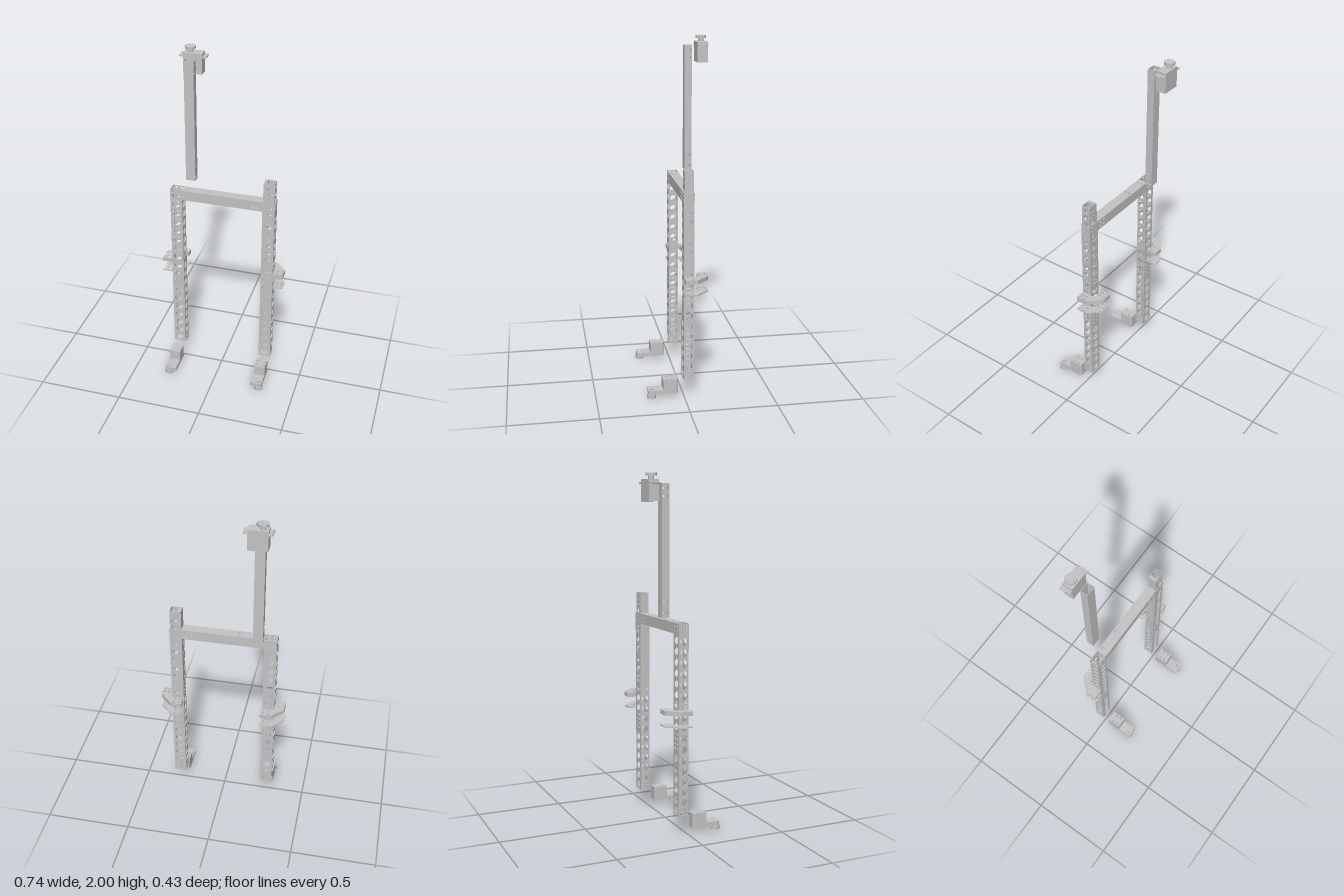
import * as THREE from 'three';

const metal = new THREE.MeshStandardMaterial({ color: 0xc4c4c4 });
metal.name = 'light grey metal';

// Solid plate in XY from corner points, with round holes [x, y, r]
function plate(points, holes, depth) {
  const shape = new THREE.Shape(points.map(p => new THREE.Vector2(p[0], p[1])));
  for (const [x, y, r] of holes) {
    const path = new THREE.Path();
    path.absarc(x, y, r, 0, Math.PI * 2, true);
    shape.holes.push(path);
  }
  return new THREE.ExtrudeGeometry(shape, { depth, bevelEnabled: false, curveSegments: 12 });
}

// Plate lying flat: points are [x, z], from y0 to y1
function flatPlate(points, holes, y0, y1) {
  return plate(points.map(([x, z]) => [x, -z]), holes.map(([x, z, r]) => [x, -z, r]), y1 - y0)
    .rotateX(-Math.PI / 2).translate(0, y0, 0);
}

const rect = (w, h) => [[-w / 2, -h / 2], [w / 2, -h / 2], [w / 2, h / 2], [-w / 2, h / 2]];
const pair = (du, v, r = 0.0072) => [[-du, v, r], [du, v, r]];
const four = (du, v0, v1, r) => [...pair(du, v0, r), ...pair(du, v1, r)];

// Circle of [x, z] points
function circle(cx, cz, r) {
  return Array.from({ length: 32 }, (_, i) => {
    const a = i / 32 * Math.PI * 2;
    return [cx + r * Math.cos(a), cz + r * Math.sin(a)];
  });
}

function add(parent, name, geometry) {
  const mesh = new THREE.Mesh(geometry, metal);
  mesh.name = name;
  parent.add(mesh);
}

const box = (x0, x1, y0, y1, z0, z1) => new THREE.BoxGeometry(x1 - x0, y1 - y0, z1 - z0)
  .translate((x0 + x1) / 2, (y0 + y1) / 2, (z0 + z1) / 2);

// Square tube along y, centred on the origin, holes drilled through opposite walls
function tube(name, w, h, d, frontHoles, sideHoles, wall = 0.003) {
  const group = new THREE.Group();
  group.name = name;
  const front = plate(rect(w, h), frontHoles, wall);
  const side = plate(rect(d - 2 * wall, h), sideHoles, wall).rotateY(Math.PI / 2);
  add(group, 'frontWall', front.clone().translate(0, 0, d / 2 - wall));
  add(group, 'backWall', front.clone().translate(0, 0, -d / 2));
  add(group, 'leftWall', side.clone().translate(w / 2 - wall, 0, 0));
  add(group, 'rightWall', side.clone().translate(-w / 2, 0, 0));
  return group;
}

// Leg post: large lightening holes with groups of small bolt holes
function legPost(name) {
  const y0 = 0.107, y1 = 1.196, mid = (y0 + y1) / 2, pitch = 0.0604;
  const front = [...four(0.016, 1.157, 1.182), ...four(0.016, 0.497, 0.525), ...four(0.016, 0.552, 0.579)];
  const side = [...four(0.014, 1.157, 1.182), ...four(0.014, 0.732, 0.757), ...four(0.014, 0.124, 0.145)];
  for (let i = 0; i <= 16; i++) {
    if (i !== 6 && i !== 7) front.push([0, 0.138 + pitch * i, 0.023]);
    if (i !== 9 && i < 16) side.push([0, 0.188 + pitch * i, 0.022]);
  }
  const shift = list => list.map(([u, v, r]) => [u, v - mid, r]);
  const post = tube(name, 0.072, y1 - y0, 0.058, shift(front), shift(side));
  post.position.set(0, mid, -0.026);
  return post;
}

// Foot: raised block, forward arm and round pad
function foot(sign) {
  const group = new THREE.Group();
  group.name = sign > 0 ? 'leftFoot' : 'rightFoot';
  const x0 = 0.238, x1 = 0.305, c = 0.009, e = 0.003;
  const side = pts => pts.map(([x, z]) => [sign * x, z]);
  const bolts = [[0.25, 0.067], [0.295, 0.067], [0.25, 0.097], [0.295, 0.097]].map(([x, z]) => [sign * x, z, 0.0072]);
  const pinHole = [sign * 0.285, 0.185, 0.01];
  add(group, 'footBlock', flatPlate(side([[x0, 0.12], [x1, 0.12], [x1, 0.038 + c], [x1 - e, 0.038 + e],
    [x1 - c, 0.038], [x0 + c, 0.038], [x0 + e, 0.038 + e], [x0, 0.038 + c]]), bolts, 0.024, 0.109));
  add(group, 'footArm', flatPlate(side([[x0, 0.12], [x0, 0.205 - c], [x0 + e, 0.205 - e], [x0 + c, 0.205],
    [x1 - c, 0.205], [x1 - e, 0.205 - e], [x1, 0.205 - c], [x1, 0.12]]), [pinHole], 0.024, 0.047));
  add(group, 'footPad', flatPlate(circle(sign * 0.285, 0.185, 0.026), [pinHole], 0, 0.024));
  return group;
}

// Pair of angled bracket plates wrapping the outer rear corner of a post
function brackets(sign) {
  const group = new THREE.Group();
  group.name = sign > 0 ? 'leftBrackets' : 'rightBrackets';
  const outline = [[0.368, 0.003], [0.368, -0.064], [0.362, -0.072], [0.306, -0.128], [0.293, -0.136], [0.245, -0.136],
    [0.237, -0.133], [0.234, -0.126], [0.234, -0.089], [0.237, -0.081], [0.245, -0.078], [0.292, -0.078],
    [0.304, -0.073], [0.309, -0.062], [0.309, 0.003]];
  const holes = [[0.36, -0.041], [0.33, -0.041], [0.36, -0.012], [0.33, -0.012],
    [0.28, -0.122], [0.25, -0.122], [0.28, -0.093], [0.25, -0.093]];
  const pts = outline.map(([x, z]) => [sign * x, z]);
  const drilled = holes.map(([x, z]) => [sign * x, z, 0.0072]);
  add(group, 'upperBracket', flatPlate(pts, drilled, 0.694, 0.719));
  add(group, 'lowerBracket', flatPlate(pts, drilled, 0.627, 0.634));
  return group;
}

function servo() {
  const group = new THREE.Group();
  group.name = 'servo';
  const z0 = -0.213, z1 = -0.153, hx = -0.232, hz = -0.185;
  add(group, 'servoBody', box(-0.265, -0.157, 1.851, 1.967, z0, z1));
  // Mounting flange with two open slots at each end
  const end = (x, s) => {
    const pts = [[x, z0]];
    for (const z of [-0.198, -0.168])
      pts.push([x, z - 0.004], [x + s * 0.009, z - 0.004], [x + s * 0.009, z + 0.004], [x, z + 0.004]);
    return [...pts, [x, z1]];
  };
  add(group, 'servoFlange', flatPlate([...end(-0.288, 1), ...end(-0.134, -1).reverse()], [], 1.944, 1.951));
  // Output hub and round horn
  add(group, 'servoHub', new THREE.CylinderGeometry(0.016, 0.016, 0.02, 24).translate(hx, 1.976, hz));
  const holes = [[0, 0], [0.02, 0], [-0.02, 0], [0, 0.02], [0, -0.02]].map(([x, z]) => [hx + x, hz + z, 0.0045]);
  add(group, 'servoHorn', flatPlate(circle(hx, hz, 0.03), holes, 1.985, 2));
  return group;
}

export function createModel() {
  const model = new THREE.Group();
  model.name = 'robotFrame';

  for (const sign of [-1, 1]) {
    const post = legPost(sign > 0 ? 'leftLegPost' : 'rightLegPost');
    post.position.x = sign * 0.273;
    model.add(post, foot(sign), brackets(sign));
  }

  // Crossbeam between the posts
  const beam = tube('crossbeam', 0.061, 0.492, 0.058,
    four(0.013, 0.171, 0.203), four(0.012, -0.219, -0.099));
  beam.rotation.z = -Math.PI / 2;
  beam.position.set(0.009, 1.1655, -0.026);
  model.add(beam);

  // Extension tube sliding inside the left post, with a spacer strip
  const frontHoles = four(0.012, 0.225, 0.255, 0.007), sideHoles = [];
  for (let i = 0; i < 13; i++) {
    if (i > 1) frontHoles.push([0, 0.268 - 0.043 * i, 0.016]);
    sideHoles.push([0, 0.265 - 0.043 * i, 0.017]);
  }
  const extension = tube('extensionTube', 0.05, 0.58, 0.05, frontHoles, sideHoles);
  extension.position.set(0.28, 1.026, -0.026);
  model.add(extension);
  add(model, 'extensionSpacer', box(0.239, 0.255, 0.736, 1.316, -0.051, -0.001));

  // Tall upright arm
  const arm = tube('uprightArm', 0.056, 0.723, 0.043, [],
    [...four(0.012, 0.336, 0.293, 0.006), ...four(0.012, -0.274, -0.338, 0.006)], 0.0025);
  arm.position.set(-0.211, 1.5855, -0.1035);
  model.add(arm);

  model.add(servo());
  return model;
}
